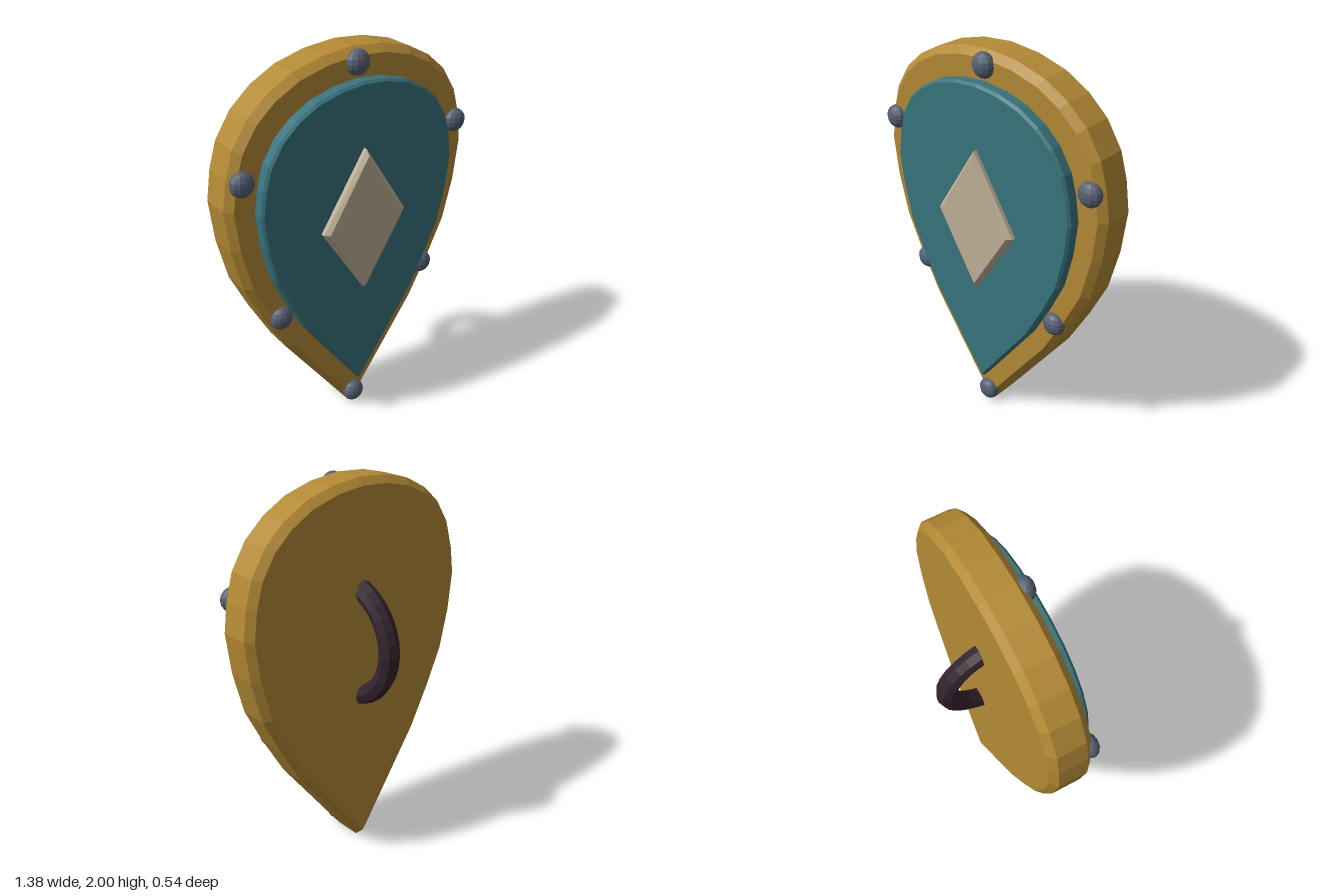
import * as THREE from 'three';

const mat = (name, color) => {
  const m = new THREE.MeshStandardMaterial({ color, flatShading: true });
  m.name = name;
  return m;
};

// Bevelled plate between two depths; the bevel is cut inward from the outline
function plate(points, back, front, bevel) {
  const shape = new THREE.Shape(points.map(([x, y]) => new THREE.Vector2(x, y)));
  const geo = new THREE.ExtrudeGeometry(shape, {
    depth: front - back - 2 * bevel, bevelEnabled: true, bevelSegments: 1,
    bevelThickness: bevel, bevelSize: bevel, bevelOffset: -bevel,
  });
  return geo.translate(0, 0, back + bevel);
}

// Right half of the teardrop, from low on the side to just before the top
const HALF = [
  [0.40, 0.534], [0.52, 0.757], [0.614, 0.958], [0.667, 1.18], [0.69, 1.39], [0.667, 1.54],
  [0.628, 1.667], [0.547, 1.79], [0.444, 1.878], [0.317, 1.945], [0.164, 1.985],
];

// Full teardrop with a narrow blunt tip, scaled and lifted
function teardrop(tip, sx, sy, lift) {
  const half = [[tip / sx, 0], ...HALF];
  const mirrored = half.map(([x, y]) => [-x, y]).reverse();
  return [...half, [0, 2], ...mirrored].map(([x, y]) => [x * sx, y * sy + lift]);
}

export function createModel() {
  const group = new THREE.Group();
  group.name = 'shield';
  const gold = mat('gold', 0xb48a35);
  const teal = mat('teal', 0x38747e);
  const cream = mat('cream', 0xbfb196);
  const steel = mat('steel', 0x566072);
  const leather = mat('dark leather', 0x33242f);

  const add = (name, geo, material, x = 0, y = 0, z = 0) => {
    const mesh = new THREE.Mesh(geo, material);
    mesh.name = name;
    mesh.position.set(x, y, z);
    group.add(mesh);
    return mesh;
  };

  // Body, raised face panel and central diamond
  add('body', plate(teardrop(0.02, 1, 1, 0), -0.04, 0.17, 0.034), gold);
  add('facePanel', plate(teardrop(0.007, 0.802, 0.832, 0.2), 0.12, 0.23, 0.012), teal);
  add('diamond', plate([[0, 0.8], [0.24, 1.175], [0, 1.55], [-0.24, 1.175]], 0.2, 0.27, 0.02), cream);

  // Flattened rivets around the rim
  const rivet = new THREE.SphereGeometry(0.06, 12, 8).scale(1, 1, 0.75);
  [[0, 1.937], [0.61, 1.52], [0.44, 0.75], [0, 0.075], [-0.44, 0.75], [-0.61, 1.52]]
    .forEach(([x, y], i) => add('rivet' + (i + 1), rivet, steel, x, y, 0.173));

  // Curved grip on the back, its ends sunk into the body
  const arc = Math.PI * 0.88;
  const grip = new THREE.TorusGeometry(0.31, 0.052, 8, 14, arc).rotateZ(-arc / 2).rotateY(Math.PI / 2);
  add('grip', grip, leather, 0, 1.175, 0.09);

  return group;
}
